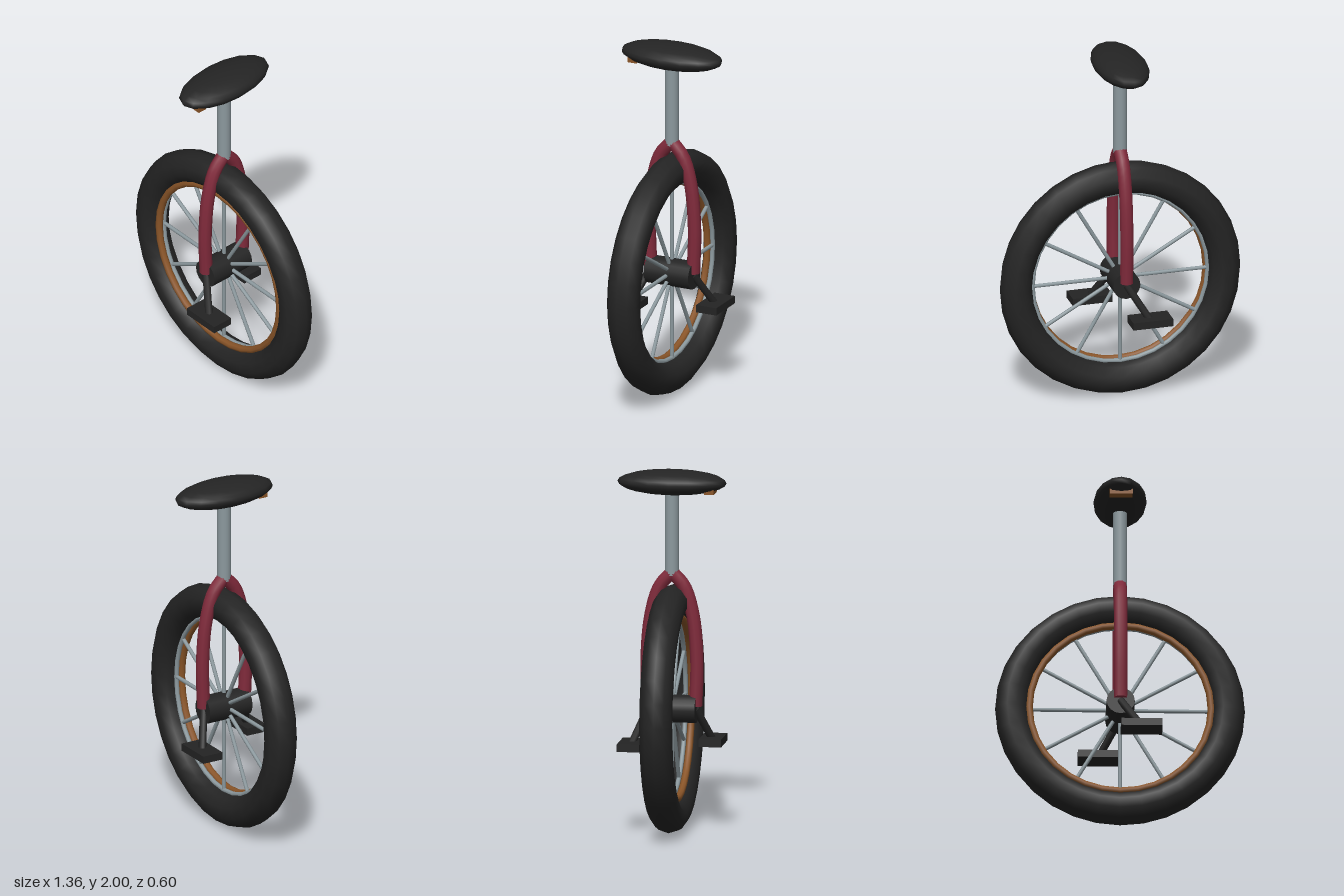
import * as THREE from 'three';

export function createModel() {
  const mat = (name, color) => {
    const m = new THREE.MeshStandardMaterial({ color });
    m.name = name;
    return m;
  };
  const black = mat('black rubber', 0x242424);
  const silver = mat('silver metal', 0x8c999e);
  const bronze = mat('bronze', 0x8a5528);
  const red = mat('dark red paint', 0x802a3b);

  const model = new THREE.Group();
  model.name = 'unicycle';
  const add = (name, geometry, material, x = 0, y = 0, z = 0, parent = model) => {
    const mesh = new THREE.Mesh(geometry, material);
    mesh.name = name;
    mesh.position.set(x, y, z);
    parent.add(mesh);
    return mesh;
  };
  // Cylinder between two points
  const rod = (name, a, b, radius, sides, material, parent = model) => {
    const dir = b.clone().sub(a);
    const mesh = add(name, new THREE.CylinderGeometry(radius, radius, dir.length(), sides), material, 0, 0, 0, parent);
    mesh.position.copy(a).add(b).multiplyScalar(0.5);
    mesh.quaternion.setFromUnitVectors(new THREE.Vector3(0, 1, 0), dir.normalize());
    return mesh;
  };
  const v = (x, y, z) => new THREE.Vector3(x, y, z);

  // Wheel: tyre, two rim rings, spokes and hub
  const wheel = new THREE.Group();
  wheel.name = 'wheel';
  wheel.position.y = 0.683;
  model.add(wheel);
  add('tyre', new THREE.TorusGeometry(0.588, 0.091, 10, 32), black, 0, 0, 0, wheel);
  add('innerRim', new THREE.TorusGeometry(0.495, 0.013, 8, 32), silver, 0, 0, 0, wheel);
  add('frontRim', new THREE.TorusGeometry(0.495, 0.02, 8, 32), bronze, 0, 0, 0.033, wheel);
  for (let i = 0; i < 12; i++) {
    const a = (i * Math.PI) / 6;
    rod('spoke', v(0, 0, 0), v(Math.cos(a) * 0.5, Math.sin(a) * 0.5, 0), 0.011, 8, silver, wheel);
  }
  rod('hub', v(0, 0, -0.135), v(0, 0, 0.135), 0.077, 16, black, wheel);

  // Fork legs, cranks and pedals; the second side is turned half a circle
  for (const s of [1, -1]) {
    const leg = new THREE.CatmullRomCurve3([
      v(0, 0.7, s * 0.13), v(0, 0.95, s * 0.137), v(0, 1.2, s * 0.115),
      v(0, 1.36, s * 0.066), v(0, 1.435, 0),
    ]);
    add('forkLeg', new THREE.TubeGeometry(leg, 20, 0.037, 10), red);
    const foot = add('forkEnd', new THREE.CircleGeometry(0.037, 10), red, 0, 0.7, s * 0.13);
    foot.rotation.x = Math.PI / 2;
    rod('crank', v(0, 0.685, s * 0.13), v(s * 0.112, 0.497, s * 0.207), 0.021, 8, black);
    add('pedal', new THREE.BoxGeometry(0.225, 0.042, 0.123), black, s * 0.112, 0.495, s * 0.208);
  }

  // Seat post and saddle
  rod('seatPost', v(0, 1.42, 0), v(0, 1.9, 0), 0.038, 16, silver);
  const saddle = add('saddle', new THREE.SphereGeometry(1, 16, 12), black, 0, 1.931, 0);
  saddle.scale.set(0.145, 0.069, 0.3);
  add('saddleHandle', new THREE.BoxGeometry(0.125, 0.03, 0.052), bronze, 0, 1.89, 0.212);

  return model;
}
